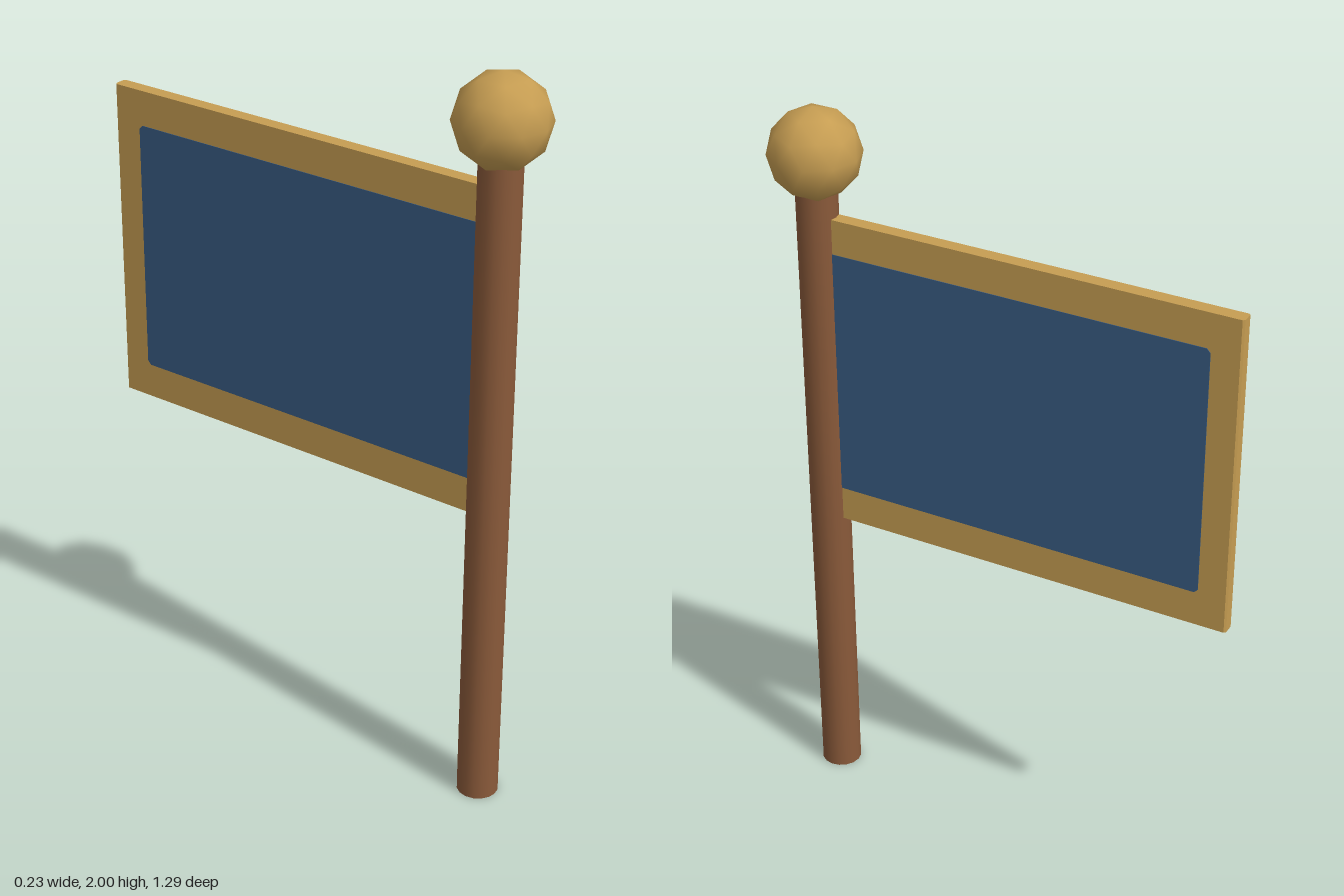
import * as THREE from 'three';

export function createModel() {
  const group = new THREE.Group();
  const material = (name, color) => {
    const m = new THREE.MeshStandardMaterial({ color });
    m.name = name;
    return m;
  };
  const wood = material('brown wood', 0x8a5a3a);
  const gold = material('gold', 0xc69d52);
  const blue = material('blue cloth', 0x395c83);

  const add = (name, geometry, mat, x = 0, y = 0, z = 0) => {
    const mesh = new THREE.Mesh(geometry, mat);
    mesh.name = name;
    mesh.position.set(x, y, z);
    group.add(mesh);
    return mesh;
  };

  const poleZ = 0.525;

  // Round pole, running a little way into the ball
  add('pole', new THREE.CylinderGeometry(0.055, 0.055, 1.79, 16), wood, 0, 0.895, poleZ);

  // Smooth faceted ball, turned to stand on a vertex
  const ball = new THREE.IcosahedronGeometry(0.121, 1);
  ball.rotateX(-Math.atan((1 + Math.sqrt(5)) / 2));
  ball.rotateY(Math.PI / 2);
  add('finial', ball, gold, 0, 1.879, poleZ);

  // Flag board: plan outline with a slightly bevelled free end, extruded upward
  const plan = new THREE.Shape([
    [-0.019, -poleZ], [0.019, -poleZ], [0.019, 0.641],
    [0.014, 0.646], [-0.014, 0.646], [-0.019, 0.641],
  ].map(([x, y]) => new THREE.Vector2(x, y)));
  const board = new THREE.ExtrudeGeometry(plan, { depth: 0.88, bevelEnabled: false });
  board.rotateX(-Math.PI / 2);
  add('flagBorder', board, gold, 0, 0.835, 0);

  // Blue field on both faces, with clipped outer corners
  const c = 0.01;
  const [near, far, low, high] = [-poleZ, 0.566, 0.931, 1.62];
  const field = new THREE.Shape([
    [near, low], [far - c, low], [far, low + c],
    [far, high - c], [far - c, high], [near, high],
  ].map(([x, y]) => new THREE.Vector2(x, y)));
  const panel = new THREE.ExtrudeGeometry(field, { depth: 0.003, bevelEnabled: false });
  panel.translate(0, 0, -0.0015);
  panel.rotateY(Math.PI / 2);
  for (const [name, side] of [['leftField', 1], ['rightField', -1]]) {
    add(name, panel, blue, side * 0.019, 0, 0);
  }

  return group;
}
